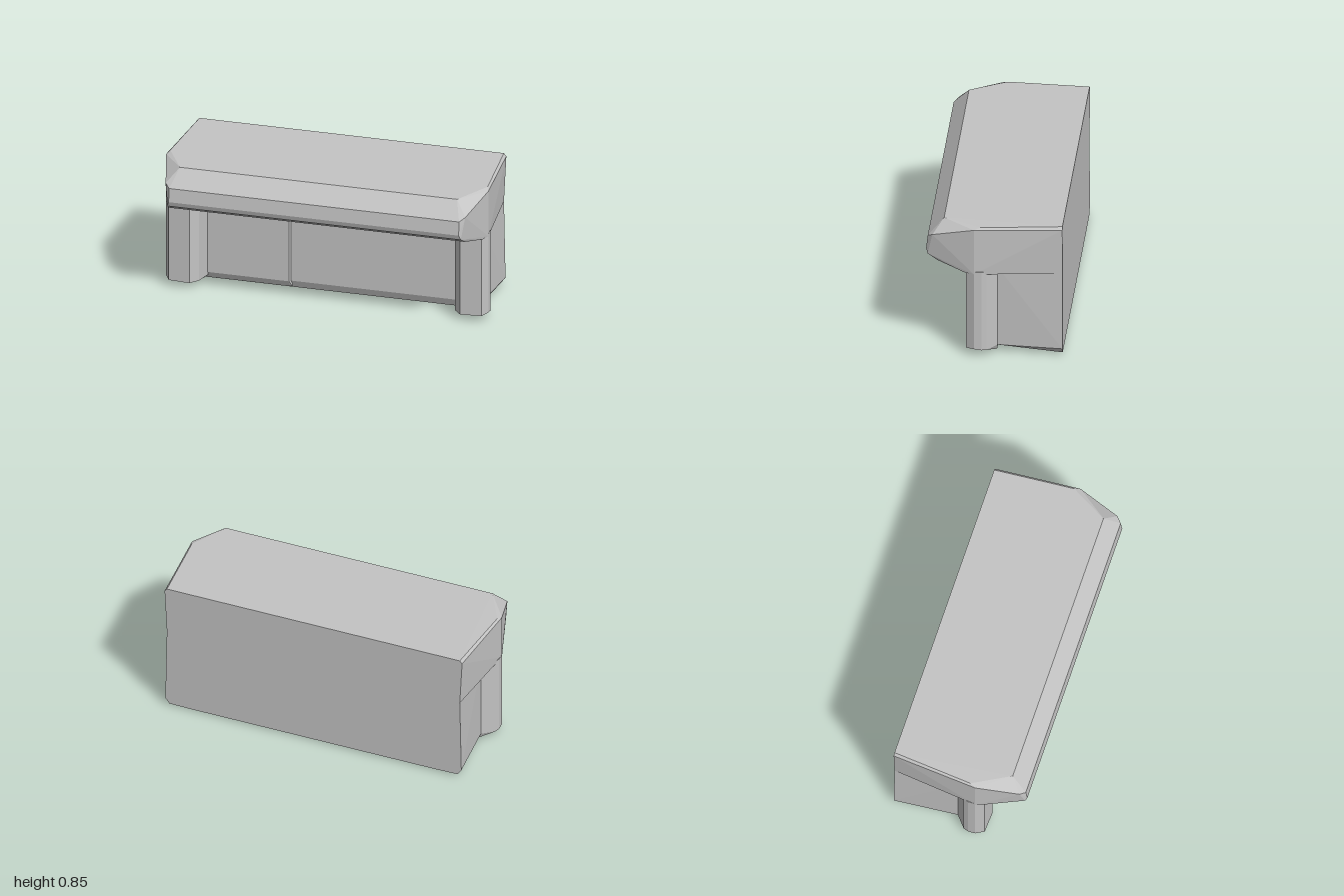
import * as THREE from 'three';
import { ConvexGeometry } from 'three/addons/geometries/ConvexGeometry.js';

const grey = new THREE.MeshStandardMaterial({ color: 0xc4c4c4 });
grey.name = 'grey';

// faceted solid wrapped around corner points
function solid(name, points) {
  const mesh = new THREE.Mesh(new ConvexGeometry(points.map(p => new THREE.Vector3(...p))), grey);
  mesh.name = name;
  return mesh;
}
const mirrored = points => points.flatMap(([x, y, z]) => [[x, y, z], [-x, y, z]]);

export function createModel() {
  const model = new THREE.Group();
  model.name = 'counter';

  // overhanging slab with a rounded nose, corner points of one end
  model.add(solid('counterTop', mirrored([
    [0.945, 0.858, -0.41], [0.96, 0.84, -0.41], [0.945, 0.545, -0.41],
    [0.86, 0.848, 0.305], [0.985, 0.85, 0.08], [1, 0.838, 0.115],
    [0.93, 0.765, 0.37], [0.9, 0.745, 0.4], [0.9, 0.66, 0.41],
    [0.91, 0.63, 0.4], [0.92, 0.595, 0.345],
    [0.98, 0.545, 0.17], [1, 0.545, 0.115],
  ])));

  // main body, slightly narrower under the slab, with bevelled underside
  model.add(solid('body', mirrored([
    [0.945, 0.56, -0.41], [0.955, 0.05, -0.41], [0.93, 0.015, -0.41], [0.8, 0.012, -0.41],
    [0.92, 0.56, -0.02], [0.92, 0.045, -0.02], [0.8, 0.003, -0.03],
    [0.77, 0.56, -0.01], [0.77, 0.05, -0.01],
  ])));

  // shallow raised panel on the front wall
  model.add(solid('frontPanel', [-0.79, -0.27].flatMap((x, i) => [
    [x, 0.56, 0.004], [x, 0.05, 0.004], [x, 0.01, -0.015],
    [x + i * 0.015, 0.56, -0.02], [x + i * 0.015, 0.01, -0.02],
  ])));

  // faceted front posts: plan outline with the foot height of each corner
  const plan = [
    [1, 0.115, 0.048], [0.97, 0.165, 0.042], [0.84, 0.172, 0.04], [0.795, 0.12, 0.04],
    [0.77, -0.02, 0.03], [0.92, -0.02, 0.045], [0.99, 0.04, 0.042], [1, 0.07, 0.042],
  ];
  const foot = [[0.93, 0.022, 0.07], [0.87, 0.02, 0.09], [0.8, 0.005, -0.015], [0.9, 0.008, -0.015]];
  for (const side of [1, -1]) {
    const corners = [...plan.flatMap(([x, z, y]) => [[x, y, z], [x, 0.56, z]]), ...foot];
    model.add(solid(side > 0 ? 'leftPost' : 'rightPost', corners.map(([x, y, z]) => [x * side, y, z])));
  }
  return model;
}
